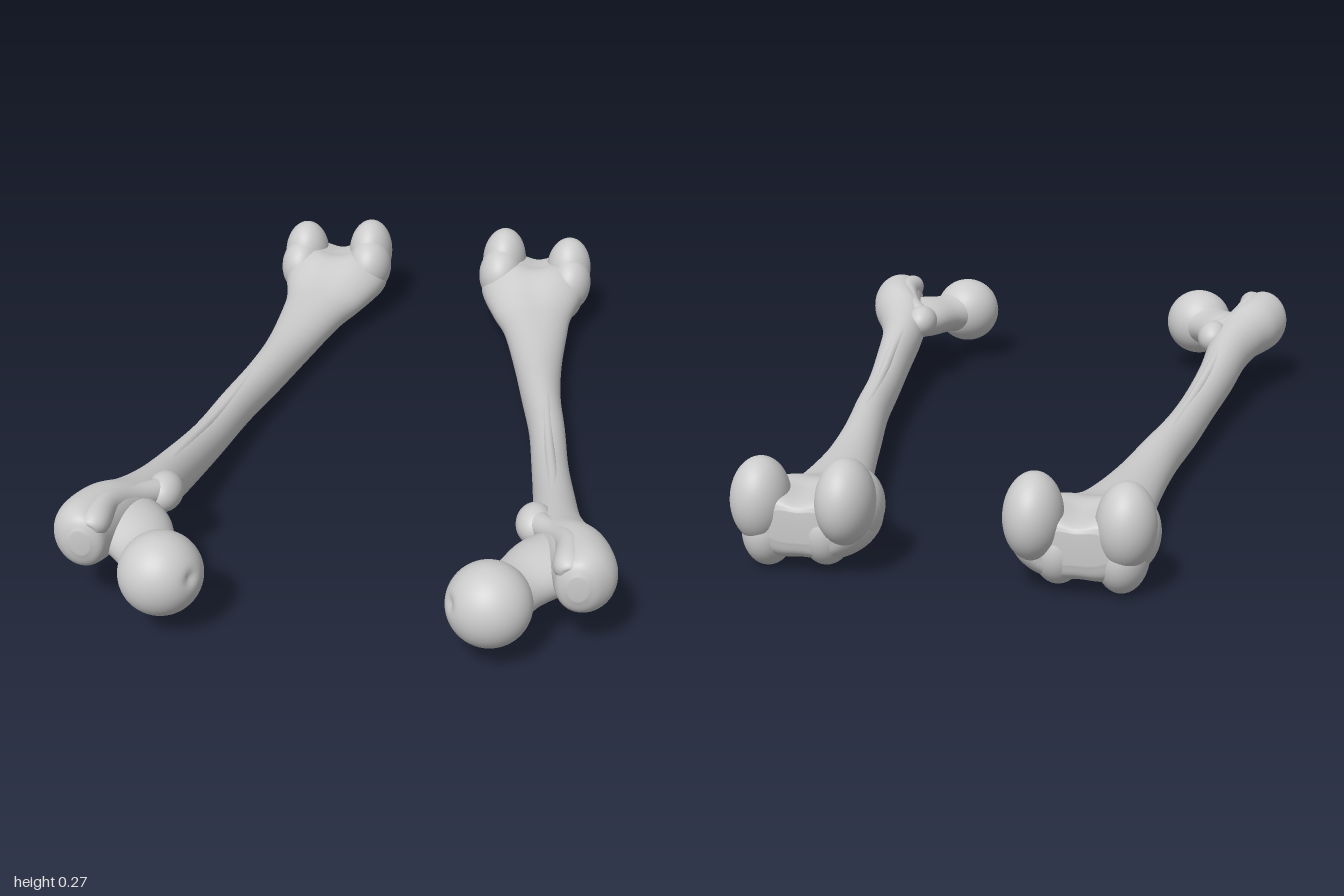
import * as THREE from 'three';
import { mergeVertices } from 'three/addons/utils/BufferGeometryUtils.js';

const material = new THREE.MeshStandardMaterial({ color: 0xcccccc, roughness: 0.7 });

// Smooth closed loft through sections [x, y, z, halfWidth, halfHeight, dent].
// "dent" hollows the upper side and, more gently, the lower side.
function loft(sections, planeNormal = null, sides = 40) {
  const centres = new THREE.CatmullRomCurve3(
    sections.map(([x, y, z]) => new THREE.Vector3(x, y, z)), false, 'catmullrom');
  const sizes = new THREE.CatmullRomCurve3(
    sections.map(([, , , a, b, d = 0]) => new THREE.Vector3(a, b, d)), false, 'catmullrom');
  const rings = (sections.length - 1) * 6;
  const up = new THREE.Vector3(0, 1, 0);
  const pos = [], index = [];
  for (let i = 0; i <= rings; i++) {
    const t = i / rings;
    const c = centres.getPoint(t), s = sizes.getPoint(t);
    const dir = planeNormal || centres.getTangent(t);
    const side = up.clone().cross(dir).normalize();
    const top = dir.clone().cross(side).normalize();
    for (let j = 0; j < sides; j++) {
      const ang = (j / sides) * Math.PI * 2;
      const cos = Math.cos(ang), sin = Math.sin(ang);
      const hollow = 1 - s.z * Math.exp(-((cos / 0.35) ** 2)) * (sin > 0 ? 1 : 0.4);
      const p = c.clone()
        .addScaledVector(side, cos * Math.max(s.x, 0.002))
        .addScaledVector(top, sin * Math.max(s.y, 0.002) * hollow);
      pos.push(p.x, p.y, p.z);
    }
  }
  for (let i = 0; i < rings; i++) {
    for (let j = 0; j < sides; j++) {
      const k = (j + 1) % sides, a = i * sides, b = a + sides;
      index.push(a + j, a + k, b + j, a + k, b + k, b + j);
    }
  }
  // end caps
  const first = pos.length / 3, start = centres.getPoint(0), end = centres.getPoint(1);
  pos.push(start.x, start.y, start.z, end.x, end.y, end.z);
  for (let j = 0; j < sides; j++) {
    const k = (j + 1) % sides, last = rings * sides;
    index.push(first, k, j, first + 1, last + j, last + k);
  }
  const g = new THREE.BufferGeometry();
  g.setAttribute('position', new THREE.Float32BufferAttribute(pos, 3));
  g.setIndex(index);
  return g;
}

function ellipsoid(x, y, z, rx, ry, rz) {
  return new THREE.SphereGeometry(1, 40, 28).scale(rx, ry, rz).translate(x, y, z);
}

// Ball of the hip joint with a small pit on its inner side
function headGeometry() {
  const g = new THREE.SphereGeometry(0.097, 56, 40);
  const pit = new THREE.Vector3(-0.85, 0.22, 0.45).normalize();
  const p = g.attributes.position, v = new THREE.Vector3();
  for (let i = 0; i < p.count; i++) {
    v.fromBufferAttribute(p, i);
    const a = v.angleTo(pit);
    v.multiplyScalar(1 - 0.1 * Math.exp(-((a / 0.16) ** 2)));
    p.setXYZ(i, v.x, v.y, v.z);
  }
  return g.translate(0.37, 0.149, 0.903);
}

// Weld seams, mirror for the other side, and smooth the normals
function finish(g, sign) {
  g.deleteAttribute('uv');
  g.deleteAttribute('normal');
  g = mergeVertices(g, 1e-5);
  if (sign < 0) {
    g.scale(-1, 1, 1);
    const ix = g.index.array;
    for (let i = 0; i < ix.length; i += 3) [ix[i + 1], ix[i + 2]] = [ix[i + 2], ix[i + 1]];
  }
  g.computeVertexNormals();
  return g;
}

function createFemur(sign) {
  const femur = new THREE.Group();
  const add = (name, g) => {
    const mesh = new THREE.Mesh(finish(g, sign), material);
    mesh.name = name;
    femur.add(mesh);
  };

  // Bowed shaft, flaring into the knee end (-z) and the greater trochanter (+z)
  add('shaft', loft([
    [0.31, 0.12, -0.955, 0.09, 0.04, 0.2],
    [0.31, 0.115, -0.945, 0.12, 0.07, 0.3],
    [0.31, 0.112, -0.915, 0.148, 0.09, 0.35],
    [0.31, 0.108, -0.86, 0.16, 0.098, 0.3],
    [0.307, 0.108, -0.8, 0.15, 0.09, 0.18],
    [0.317, 0.09, -0.7, 0.118, 0.069, 0.1],
    [0.338, 0.078, -0.6, 0.093, 0.063, 0.04],
    [0.363, 0.071, -0.4, 0.068, 0.059],
    [0.39, 0.075, -0.2, 0.054, 0.06],
    [0.423, 0.082, 0, 0.048, 0.058],
    [0.447, 0.092, 0.2, 0.047, 0.057],
    [0.473, 0.115, 0.4, 0.052, 0.064],
    [0.49, 0.143, 0.55, 0.06, 0.067],
    [0.513, 0.165, 0.65, 0.072, 0.07],
    [0.545, 0.18, 0.72, 0.076, 0.08],
    [0.565, 0.184, 0.79, 0.077, 0.085],
    [0.57, 0.188, 0.84, 0.068, 0.08],
    [0.562, 0.193, 0.875, 0.05, 0.062],
    [0.56, 0.197, 0.89, 0.022, 0.03],
  ], new THREE.Vector3(0, 0, 1), 56));

  // Low ridge along the rear of the shaft
  add('rearRidge', loft([
    [0.385, 0.118, -0.35, 0.008, 0.008],
    [0.41, 0.124, -0.1, 0.014, 0.014],
    [0.438, 0.134, 0.15, 0.014, 0.016],
    [0.465, 0.16, 0.38, 0.016, 0.018],
    [0.475, 0.185, 0.55, 0.02, 0.018],
  ], null, 20));

  // Hip end
  add('head', headGeometry());
  add('neck', loft([
    [0.525, 0.16, 0.69, 0.08, 0.055],
    [0.475, 0.157, 0.755, 0.088, 0.06],
    [0.425, 0.152, 0.825, 0.073, 0.056],
    [0.385, 0.149, 0.885, 0.078, 0.07],
  ]));
  add('trochanterCrest', loft([
    [0.54, 0.222, 0.875, 0.018, 0.02],
    [0.535, 0.23, 0.85, 0.034, 0.034],
    [0.53, 0.23, 0.77, 0.03, 0.034],
    [0.495, 0.207, 0.69, 0.028, 0.03],
    [0.445, 0.19, 0.62, 0.03, 0.03],
  ], null, 28));
  add('lesserTrochanter', ellipsoid(0.442, 0.18, 0.61, 0.044, 0.047, 0.058));

  // Knee end
  add('medialCondyle', ellipsoid(0.21, 0.172, -0.912, 0.066, 0.098, 0.088));
  add('lateralCondyle', ellipsoid(0.41, 0.16, -0.9, 0.067, 0.098, 0.08));
  add('medialEpicondyle', ellipsoid(0.205, 0.145, -0.86, 0.066, 0.085, 0.085));
  add('lateralEpicondyle', ellipsoid(0.418, 0.13, -0.86, 0.063, 0.085, 0.085));
  add('medialKneeRidge', ellipsoid(0.262, 0.095, -0.885, 0.06, 0.082, 0.075));
  add('lateralKneeRidge', ellipsoid(0.4, 0.085, -0.88, 0.06, 0.085, 0.08));
  return femur;
}

export function createModel() {
  const model = new THREE.Group();
  model.name = 'femurPair';
  for (const [name, sign] of [['leftFemur', 1], ['rightFemur', -1]]) {
    const femur = createFemur(sign);
    femur.name = name;
    model.add(femur);
  }
  return model;
}
